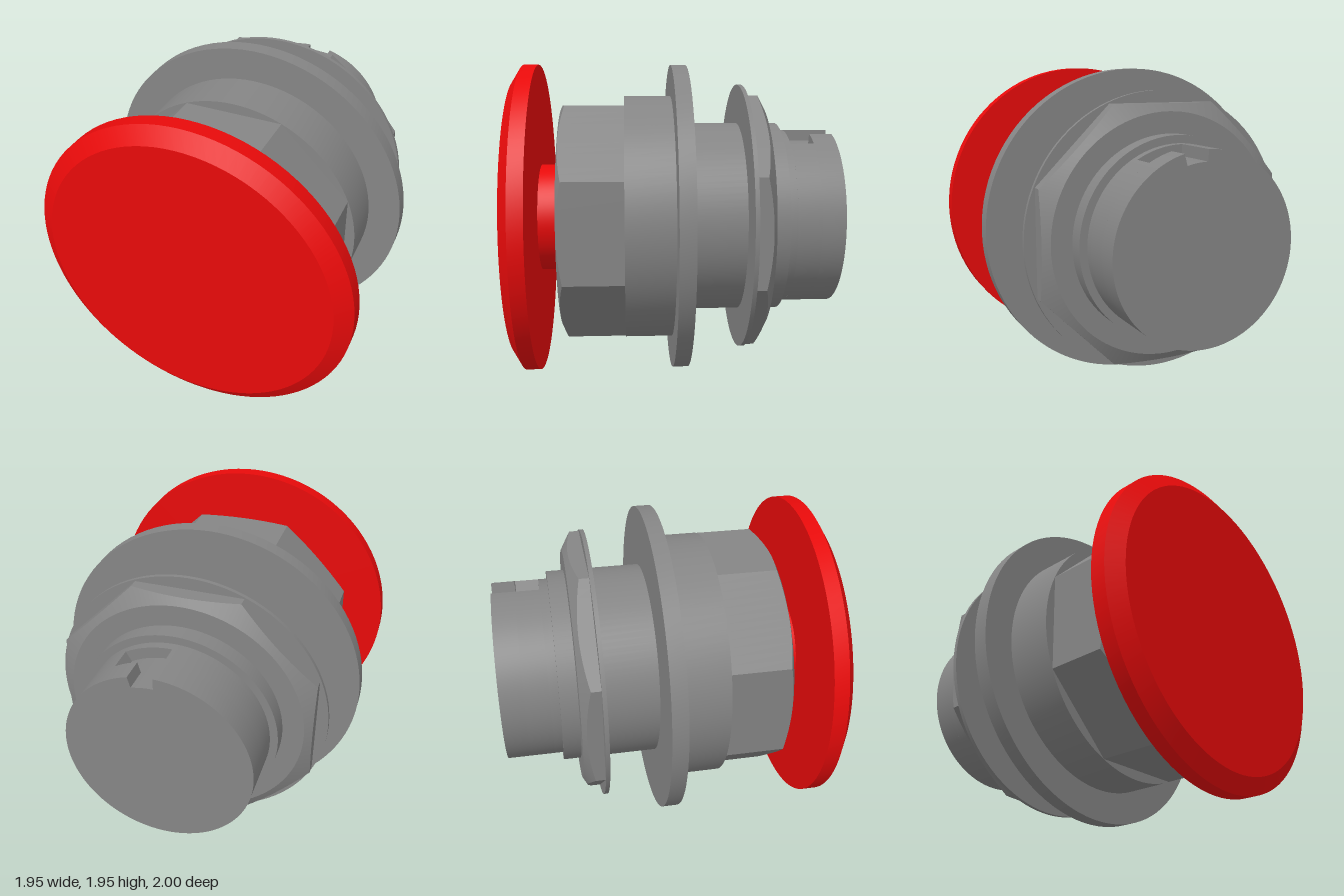
import * as THREE from 'three';
import { toCreasedNormals } from 'three/addons/utils/BufferGeometryUtils.js';

const grey = new THREE.MeshStandardMaterial({ color: 0x858585 });
const red = new THREE.MeshStandardMaterial({ color: 0xe80a0a });
const SEGMENTS = 96;

function addPart(group, name, geometry, material = grey) {
  const mesh = new THREE.Mesh(toCreasedNormals(geometry, 0.35), material);
  mesh.name = name;
  group.add(mesh);
}

// Solid turned around the z axis from [radius, z] points, back to front
function turned(points) {
  const g = new THREE.LatheGeometry(points.map(([r, z]) => new THREE.Vector2(r, z)), SEGMENTS);
  return g.rotateX(Math.PI / 2);
}

function disc(radius, back, front) {
  return turned([[0, back], [radius, back], [radius, front], [0, front]]);
}

// Eight-sided nut: profile(R) gives the section where the wall lies at radius R
function octagonNut(apothem, profile) {
  const count = profile(apothem).length;
  const g = new THREE.LatheGeometry(profile(apothem).map(([r, z]) => new THREE.Vector2(r, z)), SEGMENTS);
  const pos = g.attributes.position;
  const step = Math.PI / 4;
  for (let i = 0; i <= SEGMENTS; i++) {
    const a = (i / SEGMENTS) * Math.PI * 2;
    const wall = apothem / Math.cos(a - Math.round(a / step) * step);
    profile(wall).forEach(([r, z], j) => {
      pos.setXYZ(i * count + j, r * Math.sin(a), z, r * Math.cos(a));
    });
  }
  return g.rotateX(Math.PI / 2);
}

// Round section with a notch from the top towards +x, spanning the given angle
function notched(radius, floor, angle, back, front) {
  const top = Math.PI / 2;
  const s = new THREE.Shape();
  s.absarc(0, 0, radius, top, top - angle + Math.PI * 2, false);
  s.absarc(0, 0, floor, top - angle, top, false);
  s.closePath();
  const g = new THREE.ExtrudeGeometry(s, { depth: front - back, bevelEnabled: false, curveSegments: SEGMENTS });
  return g.translate(0, 0, back);
}

export function createModel() {
  const model = new THREE.Group();
  model.name = 'pushButton';
  const body = new THREE.Group();
  body.name = 'body';
  body.position.y = 0.975;
  model.add(body);

  // Red push head
  addPart(body, 'buttonCap', turned([[0, 0.85], [0.975, 0.85], [0.975, 0.94], [0.88, 1], [0, 1]]), red);
  addPart(body, 'buttonStem', disc(0.341, 0.69, 0.86), red);

  // Front housing
  addPart(body, 'frontNut', octagonNut(0.719, (R) => [
    [0, 0.313], [R, 0.313], [R, 0.706 - (R - 0.719) * 0.5], [0.71, 0.71], [0, 0.71],
  ]));
  addPart(body, 'collar', disc(0.78, 0.015, 0.318));
  addPart(body, 'flange', disc(0.975, -0.072, 0.024));

  // Barrel with its washer and locking nut
  addPart(body, 'barrel', disc(0.607, -0.657, -0.06));
  addPart(body, 'washer', disc(0.853, -0.43, -0.405));
  addPart(body, 'lockingNut', octagonNut(0.78, (R) => [
    [0, -0.55], [0.735, -0.55], [R, -0.55 + (R - 0.735) * 0.56], [R, -0.428], [0, -0.428],
  ]));

  // Rear plug with an L-shaped bayonet slot
  addPart(body, 'rearPlug', disc(0.56, -0.71, -0.65));
  addPart(body, 'rearPlugSlotWide', notched(0.56, 0.493, Math.PI / 6, -0.857, -0.71));
  addPart(body, 'rearPlugSlotNarrow', notched(0.56, 0.493, Math.PI / 12, -1, -0.857));

  return model;
}
